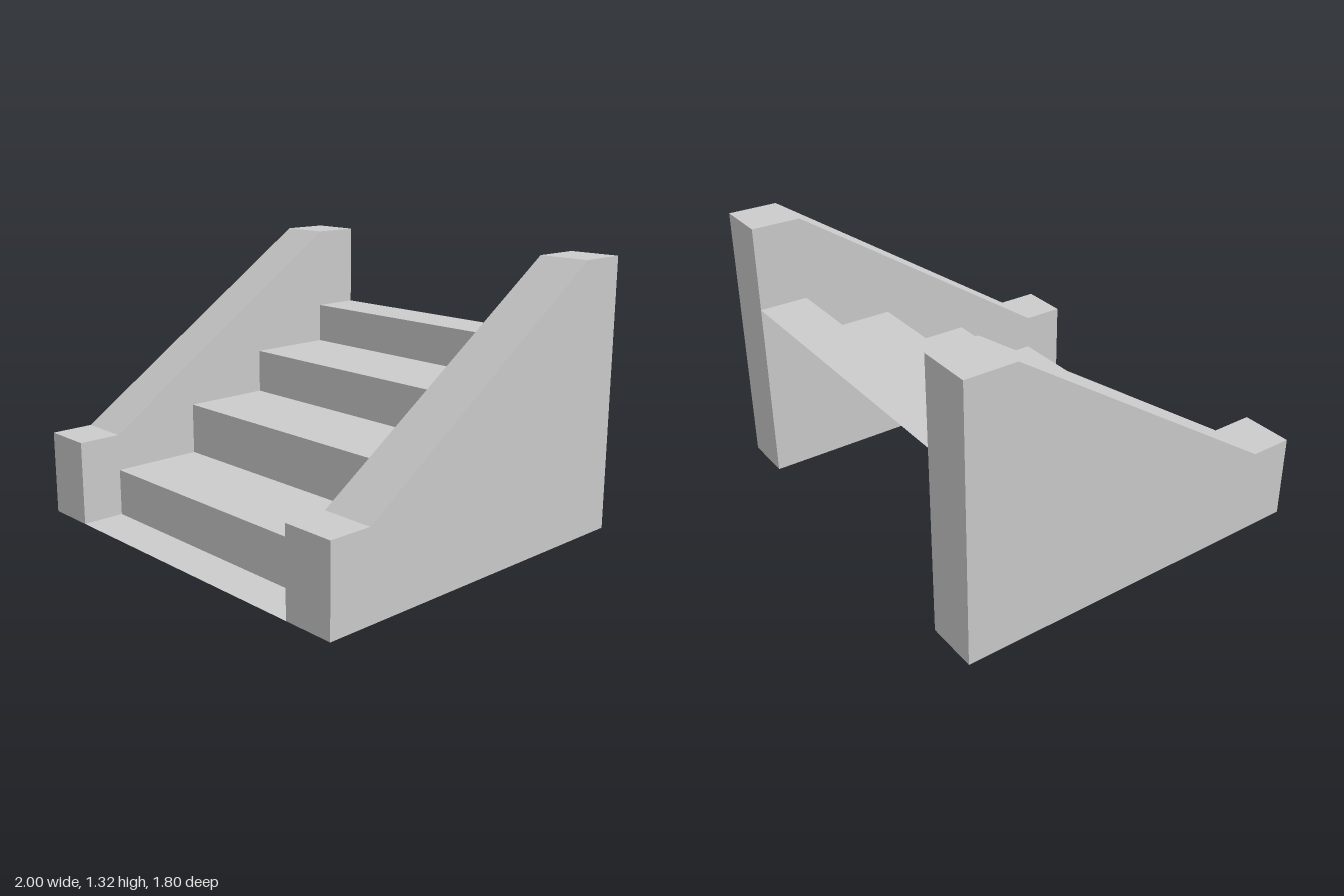
import * as THREE from 'three';

const material = new THREE.MeshStandardMaterial({ color: 0xcccccc, side: THREE.DoubleSide, flatShading: true });

// Sheet swept along x through a [z, y] profile, listed from front to back
function sheet(name, profile, x0, x1) {
  const pos = [];
  for (let i = 0; i + 1 < profile.length; i++) {
    const [za, ya] = profile[i], [zb, yb] = profile[i + 1];
    pos.push(x0, ya, za, x1, ya, za, x1, yb, zb, x0, ya, za, x1, yb, zb, x0, yb, zb);
  }
  const geometry = new THREE.BufferGeometry();
  geometry.setAttribute('position', new THREE.Float32BufferAttribute(pos, 3));
  geometry.computeVertexNormals();
  const mesh = new THREE.Mesh(geometry, material);
  mesh.name = name;
  return mesh;
}

// Flat side panel facing +x or -x
function panel(name, profile, x, facing) {
  const shape = new THREE.Shape(profile.map(([z, y]) => new THREE.Vector2(-z * facing, y)));
  const mesh = new THREE.Mesh(new THREE.ShapeGeometry(shape), material);
  mesh.name = name;
  mesh.rotation.y = facing * Math.PI / 2;
  mesh.position.x = x;
  return mesh;
}

export function createModel() {
  const model = new THREE.Group();
  model.name = 'steps';
  const inner = 0.745, front = 0.9, back = -0.9;

  // Hollow side walls, open underneath
  const wall = [[front, 0], [front, 0.41], [0.69, 0.41], [-0.66, 1.315], [back, 1.315], [back, 0]];
  for (const side of [1, -1]) {
    const group = new THREE.Group();
    group.name = side > 0 ? 'leftWall' : 'rightWall';
    group.add(
      panel('outerPanel', wall, side, side),
      panel('innerPanel', wall, side * inner, -side),
      sheet('wallEdge', wall, Math.min(side, side * inner), Math.max(side, side * inner))
    );
    model.add(group);
  }

  // Thin ground strip across the full width
  model.add(sheet('groundStrip', [[front, 0], [0.69, 0]], -1, 1));

  // Zigzag of risers and treads between the walls
  const risers = [0.69, 0.235, -0.215, -0.66];
  const heights = [0, 0.23, 0.485, 0.705, 0.905];
  const stairs = [];
  risers.forEach((z, i) => stairs.push([z, heights[i]], [z, heights[i + 1]]));
  stairs.push([back, heights[4]]);
  model.add(sheet('stairs', stairs, -inner, inner));

  return model;
}
